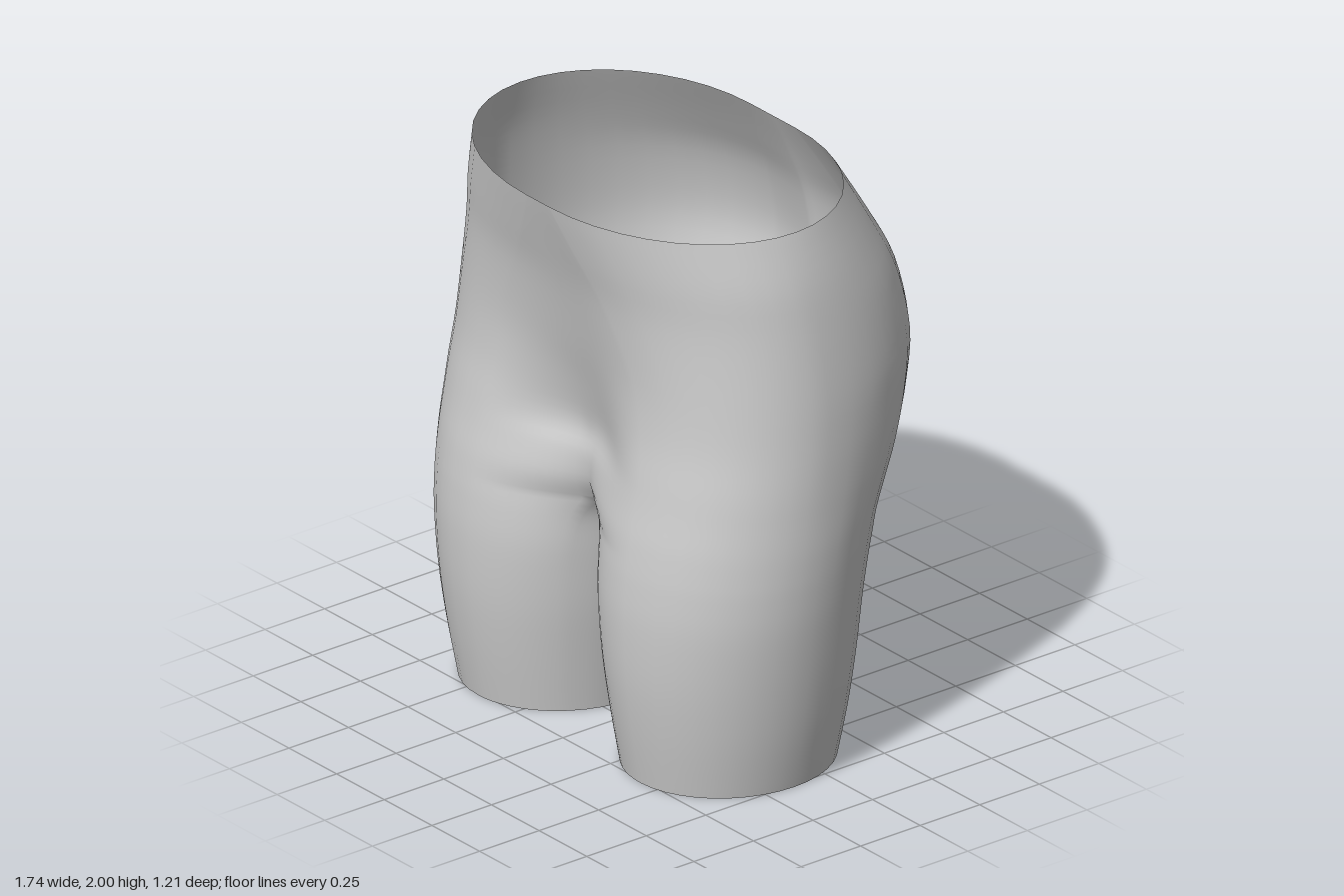
import * as THREE from 'three';
import { mergeVertices } from 'three/addons/utils/BufferGeometryUtils.js';

// Leg sections: y, outer x, inner x, centre z, front z, back z, roundness of inner side
const LEG = [
  [0, 0.765, 0.085, 0.14, 0.515, -0.225, 1],
  [0.2, 0.805, 0.058, 0.14, 0.55, -0.26, 1],
  [0.4, 0.835, 0.03, 0.14, 0.575, -0.285, 1],
  [0.6, 0.857, 0.008, 0.14, 0.583, -0.305, 1],
  [0.74, 0.866, 0.002, 0.13, 0.576, -0.328, 0.7],
  [0.82, 0.869, 0, 0.12, 0.567, -0.345, 0],
];
// Torso sections: y, outer x, front lobe x, back lobe x, centre z, front z, back z, front midline z, back midline z
const TORSO = [
  [0.82, 0.869, 0.425, 0.425, 0.12, 0.567, -0.345, 0.35, -0.1],
  [0.9, 0.87, 0.425, 0.4, 0.11, 0.555, -0.375, 0.39, -0.17],
  [1.0, 0.868, 0.425, 0.36, 0.1, 0.535, -0.44, 0.4, -0.28],
  [1.1, 0.865, 0.42, 0.32, 0.09, 0.518, -0.505, 0.385, -0.39],
  [1.25, 0.857, 0.4, 0.28, 0.07, 0.497, -0.568, 0.415, -0.5],
  [1.43, 0.842, 0.36, 0.265, 0.06, 0.493, -0.6, 0.46, -0.55],
  [1.65, 0.812, 0.25, 0.25, 0.07, 0.518, -0.555, 0.51, -0.525],
  [1.82, 0.78, 0.15, 0.2, 0.09, 0.56, -0.475, 0.557, -0.465],
  [2.0, 0.727, 0.06, 0.12, 0.1, 0.605, -0.38, 0.605, -0.38],
];
const NQ = 10; // segments in each quarter of a section
const NR = 8; // segments between the legs
const HALF = Math.PI / 2;
const EDGE = 0.96; // angle at which the inner thigh meets the body midline
const { lerp, smoothstep } = THREE.MathUtils;

// Smooth in-between rows of a section table
function refine(rows, steps) {
  const out = [];
  const at = (i) => rows[Math.min(Math.max(i, 0), rows.length - 1)];
  for (let i = 0; i < rows.length - 1; i++) {
    for (let s = 0; s < steps; s++) {
      const t = s / steps;
      out.push(rows[i].map((b, k) => {
        const a = at(i - 1)[k], c = at(i + 1)[k], d = at(i + 2)[k];
        return b + 0.5 * t * (c - a + t * (2 * a - 5 * b + 4 * c - d + t * (3 * (b - c) + d - a)));
      }));
    }
  }
  out.push(rows[rows.length - 1]);
  return out;
}

// Half body section, running from the front midline around the hip to the back midline
function torsoRing([y, xo, cf, cb, cz, zf, zb, mf, mb]) {
  const pts = [];
  const soft = smoothstep(y, 0.85, 1.15);
  const add = (x, z) => {
    const tilt = 0.015 * smoothstep(y, 1.75, 2) * (z - zb) / (zf - zb);
    pts.push([x, y - tilt, z]);
  };
  for (let i = 0; i < NQ; i++) {
    const u = i / NQ;
    const f = lerp(Math.sin(HALF * u), (1 - Math.cos(Math.PI * u)) / 2, soft);
    add(cf * u, mf + (zf - mf) * f);
  }
  for (let i = 0; i < 2 * NQ; i++) {
    const a = HALF * i / NQ;
    const front = i < NQ;
    const cx = front ? cf : cb;
    add(cx + (xo - cx) * Math.sin(a), cz + ((front ? zf : zb) - cz) * Math.abs(Math.cos(a)));
  }
  for (let i = 0; i <= NQ; i++) {
    const u = 1 - i / NQ;
    add(cb * u, mb + (zb - mb) * Math.sin(HALF * u));
  }
  return pts;
}

// Closed leg section; near the crotch its inner side flattens onto the midline
function legRing([y, xo, xi, cz, zf, zb, w]) {
  const cx = 0.425, mf = 0.35, mb = -0.1;
  const flat = torsoRing([y, xo, cx, cx, cz, zf, zb, mf, mb]);
  for (let i = 1; i <= NR; i++) flat.push([0, y, lerp(mb, mf, i / NR)]);
  return flat.map(([x, , z], j) => {
    let a; // angle from the front, positive towards the outside
    if (j <= NQ) a = -EDGE * (1 - j / NQ);
    else if (j <= 3 * NQ) a = HALF * (j - NQ) / NQ;
    else if (j <= 4 * NQ) a = Math.PI + EDGE * (j - 3 * NQ) / NQ;
    else a = lerp(Math.PI + EDGE, 2 * Math.PI - EDGE, (j - 4 * NQ) / NR);
    const s = Math.sin(a), c = Math.cos(a);
    const ex = cx + (s > 0 ? xo - cx : cx - xi) * s;
    const ez = cz + (c > 0 ? zf - cz : cz - zb) * Math.abs(c) * (c > 0 ? 1 : -1);
    return [lerp(x, ex, w), y, lerp(z, ez, w)];
  });
}

// Skin a stack of rings on one side (side = 1 or -1)
function loft(rings, side, positions) {
  const put = (...tri) => {
    if (side < 0) tri.reverse();
    tri.forEach(([x, y, z]) => positions.push(x * side, y, z));
  };
  for (let i = 0; i < rings.length - 1; i++) {
    for (let j = 0; j < rings[i].length - 1; j++) {
      const a = rings[i][j], b = rings[i][j + 1];
      const c = rings[i + 1][j + 1], d = rings[i + 1][j];
      put(a, b, c);
      put(a, c, d);
    }
  }
}

export function createModel() {
  const group = new THREE.Group();
  group.name = 'shorts';
  const grey = new THREE.MeshStandardMaterial({ color: 0xcccccc, side: THREE.DoubleSide });
  grey.name = 'light grey';

  // Both halves are welded into one open shell so the seams shade smoothly
  const positions = [];
  const legs = refine(LEG, 4).map(legRing);
  const torso = refine(TORSO, 4).map(torsoRing);
  for (const side of [1, -1]) {
    loft(legs, side, positions);
    loft(torso, side, positions);
  }
  let shell = new THREE.BufferGeometry();
  shell.setAttribute('position', new THREE.Float32BufferAttribute(positions, 3));
  shell = mergeVertices(shell, 1e-4);
  shell.computeVertexNormals();

  const mesh = new THREE.Mesh(shell, grey);
  mesh.name = 'hipAndThighShell';
  group.add(mesh);
  return group;
}
